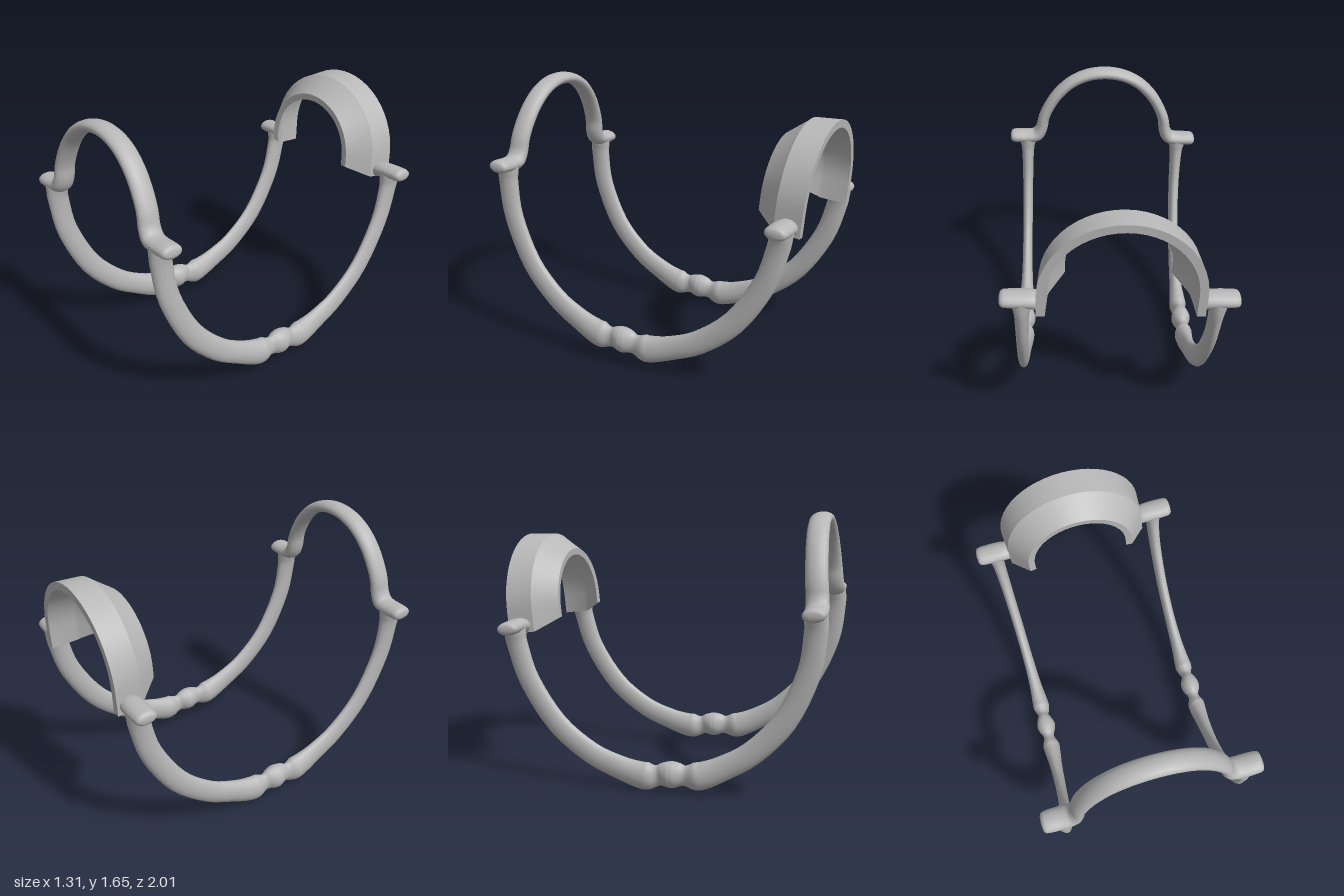
import * as THREE from 'three';
import { toCreasedNormals } from 'three/addons/utils/BufferGeometryUtils.js';

const metal = new THREE.MeshStandardMaterial({ color: 0xb8b8b8 });
metal.name = 'light grey';

// Skin a list of equal-sized rings and close both ends
function skin(rings, crease) {
  const n = rings[0].length, last = (rings.length - 1) * n, index = [];
  for (let i = 0; i < rings.length - 1; i++) {
    for (let j = 0; j < n; j++) {
      const a = i * n + j, b = i * n + (j + 1) % n;
      index.push(a, b, b + n, a, b + n, a + n);
    }
  }
  for (let j = 0; j < n / 2 - 1; j++) {
    const a = j, b = j + 1, c = n - 2 - j, d = n - 1 - j;
    index.push(a, d, c, a, c, b);
    index.push(last + a, last + b, last + c, last + a, last + c, last + d);
  }
  const geo = new THREE.BufferGeometry();
  geo.setAttribute('position', new THREE.Float32BufferAttribute(rings.flat(2), 3));
  geo.setIndex(index);
  return toCreasedNormals(geo, crease);
}

// Oval rod in the XY plane; stations are [x, y, radius in plane, radius along z]
function rod(stations, steps, sides = 16) {
  const path = new THREE.CatmullRomCurve3(stations.map(s => new THREE.Vector3(s[0], s[1], 0)), false, 'catmullrom', 0.5);
  const size = new THREE.CatmullRomCurve3(stations.map(s => new THREE.Vector3(s[2], s[3], 0)), false, 'catmullrom', 0.5);
  const rings = [];
  for (let i = 0; i <= steps; i++) {
    const p = path.getPoint(i / steps), t = path.getTangent(i / steps), r = size.getPoint(i / steps);
    const ring = [];
    for (let j = 0; j < sides; j++) {
      const f = j / sides * Math.PI * 2;
      const a = Math.cos(f) * Math.max(r.x, 0.002), b = Math.sin(f) * Math.max(r.y, 0.002);
      ring.push([p.x - t.y * a, p.y + t.x * a, b]);
    }
    rings.push(ring);
  }
  return skin(rings, 0.9);
}

// Complete a half list of stations by mirroring it
const mirrored = (half, sx) => [
  ...half,
  ...half.slice(0, -1).reverse().map(s => [s[0] * sx, ...s.slice(1)]),
];

function part(name, geometry, x = 0, y = 0, z = 0) {
  const mesh = new THREE.Mesh(geometry, metal);
  mesh.name = name;
  mesh.position.set(x, y, z);
  return mesh;
}

export function createModel() {
  const model = new THREE.Group();
  model.name = 'archedFrame';
  const midZ = 0.107, span = 0.91;

  // Curved side rails with a bead between two swellings at the bottom
  const rail = rod(mirrored([
    [-0.91, 1.07, 0.068, 0.066], [-0.91, 1.02, 0.068, 0.056], [-0.903, 0.94, 0.067, 0.042],
    [-0.85, 0.72, 0.067, 0.036], [-0.70, 0.45, 0.069, 0.034], [-0.50, 0.265, 0.071, 0.035],
    [-0.32, 0.172, 0.075, 0.042], [-0.20, 0.128, 0.084, 0.054], [-0.145, 0.12, 0.085, 0.056],
    [-0.085, 0.123, 0.064, 0.036], [-0.04, 0.129, 0.076, 0.054], [0, 0.13, 0.082, 0.064],
  ], -1), 88).rotateY(-Math.PI / 2);
  model.add(part('leftRail', rail, 0.535, 0, midZ), part('rightRail', rail, -0.535, 0, midZ));

  // Knob profile shared by the front arch and the rear lugs
  const knob = [
    [0.657, 1.06, 0.002, 0.002], [0.652, 1.06, 0.024, 0.046], [0.635, 1.06, 0.039, 0.064],
    [0.59, 1.06, 0.042, 0.069], [0.53, 1.06, 0.043, 0.069],
  ];

  // Front arch, running into a knob at each end
  const frontArch = rod(mirrored([
    ...knob,
    [0.47, 1.073, 0.046, 0.068], [0.437, 1.13, 0.041, 0.066], [0.421, 1.21, 0.038, 0.065],
    [0.382, 1.30, 0.037, 0.065], [0.32, 1.395, 0.037, 0.065], [0.23, 1.48, 0.037, 0.065],
    [0.12, 1.533, 0.037, 0.065], [0, 1.55, 0.037, 0.065],
  ], -1), 96);
  model.add(part('frontArch', frontArch, 0, 0, midZ + span));

  // Rear lugs that carry the cuff
  const lug = rod([...knob, [0.48, 1.055, 0.047, 0.067], [0.43, 1.045, 0.05, 0.06]], 24);
  const rightLug = part('rightLug', lug, 0, 0, midZ - span);
  rightLug.rotation.y = Math.PI;
  model.add(part('leftLug', lug, 0, 0, midZ - span), rightLug);

  // Rear cuff: a band with a conical front lip; section points are [radius, z]
  const section = [
    [0.41, -0.883], [0.395, -0.72], [0.385, -0.70], [0.30, -0.592],
    [0.34, -0.588], [0.432, -0.708], [0.445, -0.722], [0.458, -0.883],
  ];
  const centreY = 1.135, arcSteps = 26;
  const footY = z => 1.0 + 0.075 * THREE.MathUtils.clamp((z + 0.74) / 0.15, 0, 1);
  const foot = side => section.map(([r, z]) => [side * r, footY(z), z]);
  const rings = [foot(1)];
  for (let i = 0; i <= arcSteps; i++) {
    const a = Math.PI * i / arcSteps;
    rings.push(section.map(([r, z]) => [r * Math.cos(a), centreY + r * Math.sin(a), z]));
  }
  rings.push(foot(-1));
  model.add(part('rearCuff', skin(rings, 0.4)));

  // The whole frame rests slightly tilted
  model.rotation.set(-0.077, 0, 0.046);
  model.position.set(0.045, 0, 0);
  const root = new THREE.Group();
  root.name = 'frame';
  root.add(model);
  root.updateMatrixWorld(true);
  const box = new THREE.Box3().setFromObject(root, true);
  model.position.y -= box.min.y;
  model.position.x -= (box.min.x + box.max.x) / 2;
  model.position.z -= (box.min.z + box.max.z) / 2;
  return root;
}
